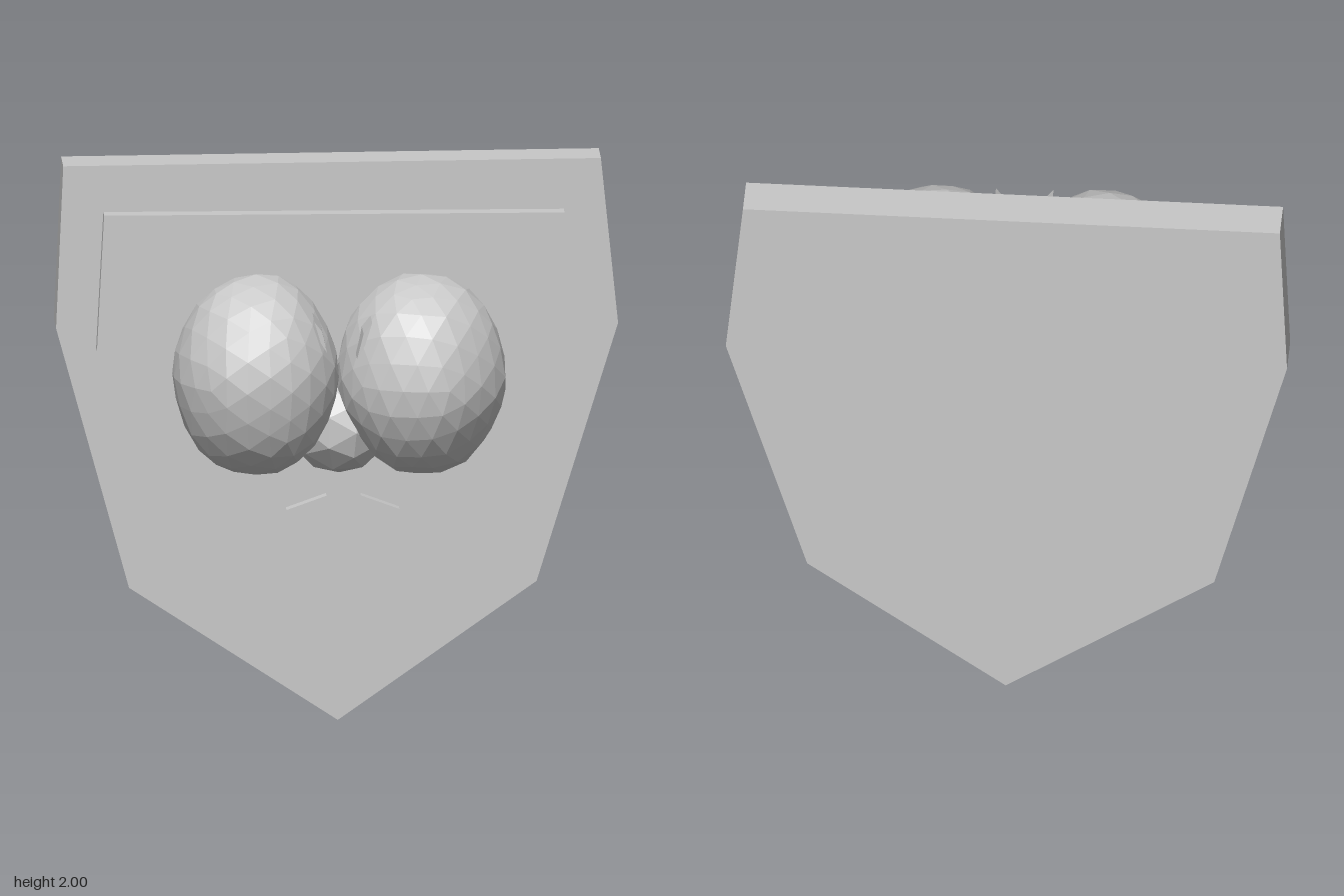
import * as THREE from 'three';

export function createModel() {
  const group = new THREE.Group();
  const grey = new THREE.MeshStandardMaterial({ color: 0xc8c8c8, flatShading: true });
  grey.name = 'plain grey';

  const add = (name, geometry) => {
    const mesh = new THREE.Mesh(geometry, grey);
    mesh.name = name;
    group.add(mesh);
    return mesh;
  };

  // flat outline extruded from zBack to zFront
  const slab = (name, points, zBack, zFront) => {
    const shape = new THREE.Shape(points.map(([x, y]) => new THREE.Vector2(x, y)));
    const geometry = new THREE.ExtrudeGeometry(shape, { depth: zFront - zBack, bevelEnabled: false });
    geometry.translate(0, 0, zBack);
    return add(name, geometry);
  };

  // faceted ball, made slightly uneven by a rule that keeps shared corners together
  const ball = (name, centre, radii, detail, seed, rough) => {
    const geometry = new THREE.IcosahedronGeometry(1, detail);
    const pos = geometry.attributes.position;
    const v = new THREE.Vector3();
    for (let i = 0; i < pos.count; i++) {
      v.fromBufferAttribute(pos, i);
      const wave = Math.sin(v.x * 7 + seed) + Math.sin(v.y * 8 + seed * 2) + Math.sin(v.z * 9 + seed * 3);
      v.multiplyScalar(1 + rough * wave);
      pos.setXYZ(i, v.x, v.y, v.z);
    }
    geometry.rotateY(seed);
    geometry.scale(...radii);
    geometry.translate(...centre);
    geometry.computeVertexNormals();
    return add(name, geometry);
  };

  // shield-shaped backing board and its raised panel
  slab('backBoard', [
    [-0.96, 1.99], [-0.985, 1.41], [-0.73, 0.48], [0, 0], [0.695, 0.49], [0.98, 1.41], [0.92, 2],
  ], -0.44, -0.28);
  slab('raisedPanel', [
    [-0.82, 1.825], [-0.845, 1.34], [-0.605, 0.535], [-0.01, 0.135], [0.6, 0.535], [0.835, 1.34], [0.79, 1.82],
  ], -0.28, -0.22);

  // pair of large faceted balls with a smaller one tucked between
  ball('rightBall', [-0.305, 1.325, 0.12], [0.29, 0.355, 0.32], 3, 0.4, 0.008);
  ball('leftBall', [0.275, 1.325, 0.115], [0.295, 0.355, 0.315], 3, 1.3, 0.008);
  ball('lowerBall', [-0.01, 1.13, 0.02], [0.18, 0.178, 0.19], 1, 0.3, 0);

  // small triangular teeth floating below
  slab('rightTooth', [[-0.21, 0.895], [-0.125, 0.805], [-0.07, 0.945]], 0.32, 0.365);
  slab('leftTooth', [[0.05, 0.945], [0.105, 0.805], [0.185, 0.895]], 0.32, 0.365);

  // narrow slivers on the inner faces of the balls
  slab('rightSliver', [[-0.112, 1.565], [-0.09, 1.49], [-0.068, 1.455], [-0.085, 1.53]], 0.2, 0.36);
  slab('leftSliver', [[0.09, 1.56], [0.06, 1.52], [0.037, 1.43], [0.065, 1.48]], 0.2, 0.36);

  return group;
}
